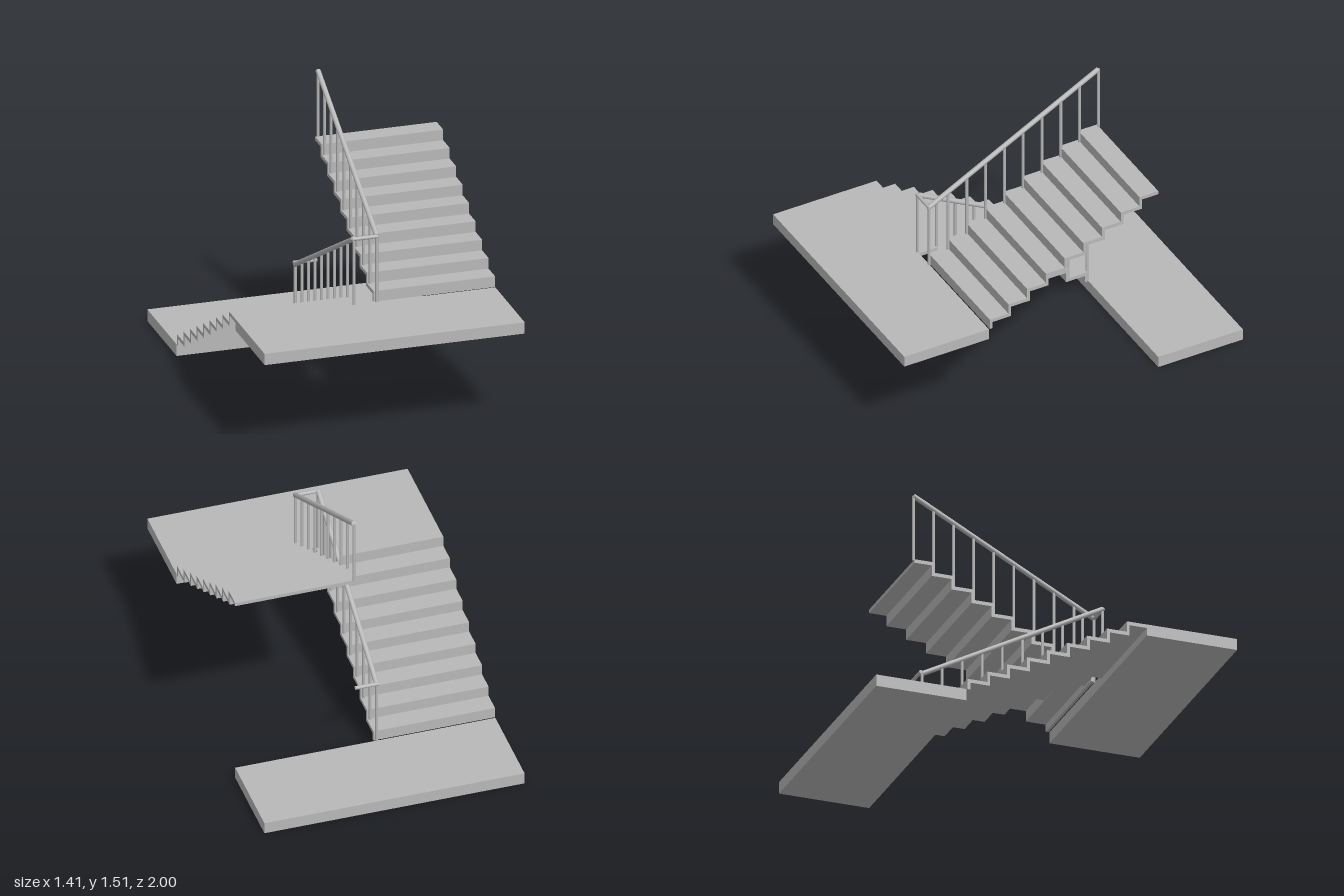
import * as THREE from 'three';

const STEPS = 9, RISE = 0.0594, RUN = 0.1105, POST_GAP = 0.111;
const HALF_WIDTH = 0.707, WELL = 0.046, RAIL_X = 0.062, RAIL_HEIGHT = 0.368;
const LOW = 0.065, HIGH = 0.6;

export function createModel() {
  const model = new THREE.Group();
  model.name = 'switchbackStaircase';
  const grey = new THREE.MeshStandardMaterial({ color: 0xb8b8b8 });
  grey.name = 'plainGrey';

  // Box given by its lowest and highest corners
  function box(parent, name, x0, x1, y0, y1, z0, z1) {
    const mesh = new THREE.Mesh(new THREE.BoxGeometry(x1 - x0, y1 - y0, Math.abs(z1 - z0)), grey);
    mesh.position.set((x0 + x1) / 2, (y0 + y1) / 2, (z0 + z1) / 2);
    mesh.name = name;
    parent.add(mesh);
  }

  // Round bar between two points
  function bar(parent, name, a, b, radius, sides = 12) {
    const from = new THREE.Vector3(...a), to = new THREE.Vector3(...b);
    const dir = to.clone().sub(from);
    const mesh = new THREE.Mesh(new THREE.CylinderGeometry(radius, radius, dir.length(), sides), grey);
    mesh.position.copy(from).add(to).multiplyScalar(0.5);
    mesh.quaternion.setFromUnitVectors(new THREE.Vector3(0, 1, 0), dir.normalize());
    mesh.name = name;
    parent.add(mesh);
  }

  // One flight with its railing: side is the sign of x, dir the climbing direction in z
  function flight(name, side, dir, base) {
    const group = new THREE.Group();
    group.name = name;
    const x0 = side > 0 ? WELL : -HALF_WIDTH;
    const x1 = side > 0 ? HALF_WIDTH : -WELL;
    for (let i = 0; i < STEPS; i++) {
      const top = base + RISE * (i + 1);
      const z = dir * (-0.495 + RUN * i);
      const end = i === STEPS - 1 ? dir * 0.5 : z + dir * RUN;
      box(group, 'tread', x0, x1, top - 0.02, top, z, end);
      const foot = i === 0 ? base : top - RISE - 0.02;
      box(group, 'riser', x0, x1, foot, top - 0.02, z, z + dir * 0.016);
    }
    const x = side * RAIL_X;
    for (let i = 0; i <= STEPS; i++) {
      const y = base + RISE * i, z = dir * (-0.4995 + POST_GAP * i);
      bar(group, 'baluster', [x, y, z], [x, y + RAIL_HEIGHT, z], 0.008, 10);
    }
    bar(group, 'handrail', [x, base + RAIL_HEIGHT, -0.5 * dir],
      [x, base + RISE * STEPS + RAIL_HEIGHT, 0.5 * dir], 0.0135, 16);
    model.add(group);
  }

  // Landings
  box(model, 'lowerLanding', -HALF_WIDTH, HALF_WIDTH, 0, LOW, -1, -0.5);
  box(model, 'upperLanding', -HALF_WIDTH, HALF_WIDTH, HIGH - 0.063, HIGH, 0.5, 1);

  flight('lowerFlight', -1, 1, LOW);
  flight('upperFlight', 1, -1, HIGH);

  // Short rails crossing the stair well
  bar(model, 'upperCrossRail', [-0.07, 0.966, 0.5], [0.07, 0.966, 0.5], 0.01);
  bar(model, 'lowerCrossRail', [-0.07, 0.44, -0.509], [0.058, 0.44, -0.509], 0.01);

  return model;
}
